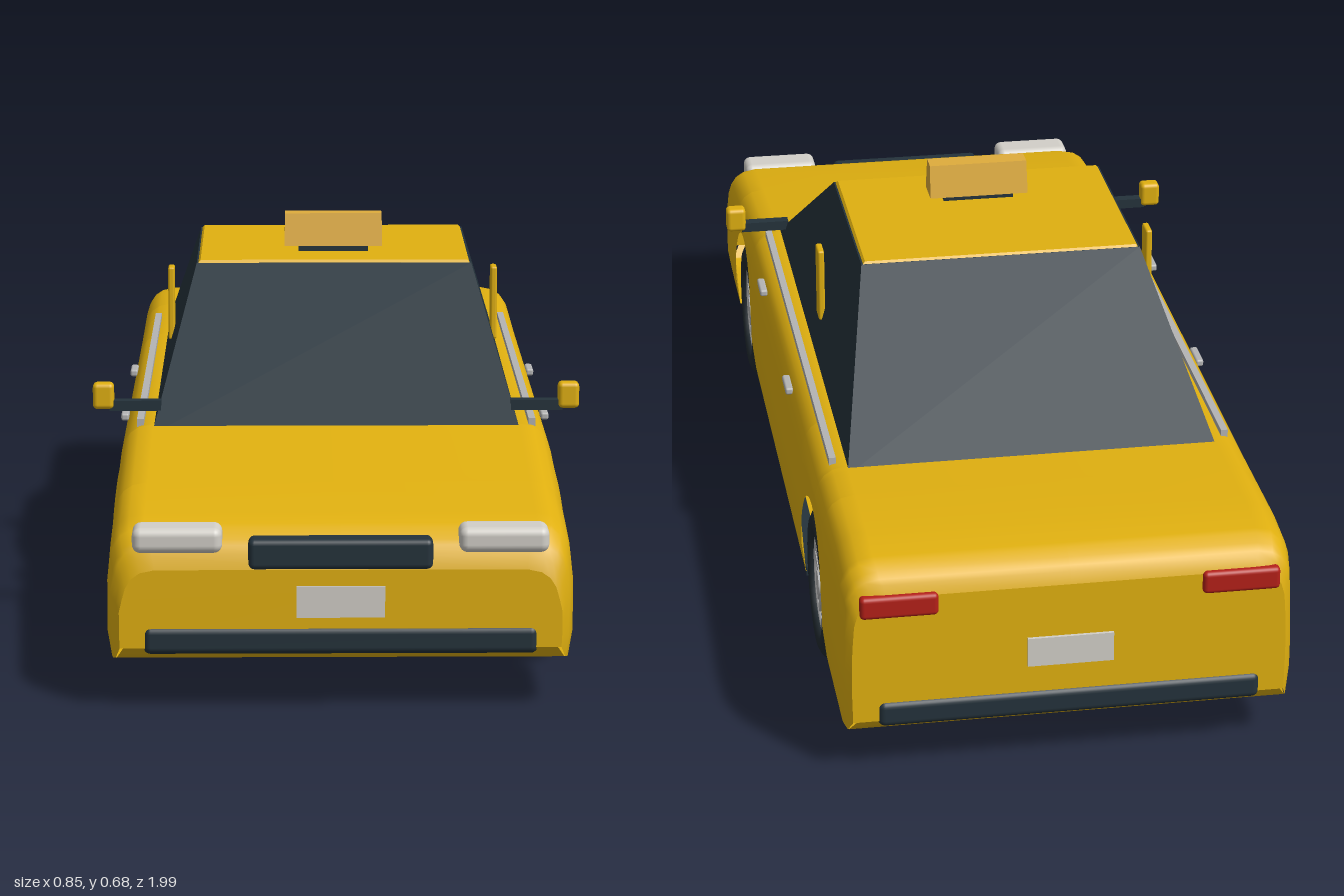
import * as THREE from 'three';
import { RoundedBoxGeometry } from 'three/addons/geometries/RoundedBoxGeometry.js';

const mat = (name, color, side = THREE.FrontSide) => {
  const m = new THREE.MeshStandardMaterial({ color, side });
  m.name = name;
  return m;
};
const yellow = mat('yellow paint', 0xe0b010, THREE.DoubleSide);
const glass = mat('dark glass and trim', 0x24323b);
const rubber = mat('tyre rubber', 0x222b31);
const silver = mat('silver', 0xb4b4b4);
const rimGrey = mat('rim grey', 0x8e8e8e);
const lampWhite = mat('lamp white', 0xd2cfc8);
const red = mat('tail lamp red', 0xb42018);
const amber = mat('sign amber', 0xdfac3c);

const ARCHES = [0.597, -0.56], ARCH_R = 0.153, AXLE_Y = 0.138, FLOOR = 0.078;

function add(parent, name, geometry, material, x = 0, y = 0, z = 0) {
  const mesh = new THREE.Mesh(geometry, material);
  mesh.name = name;
  mesh.position.set(x, y, z);
  parent.add(mesh);
  return mesh;
}
const rounded = (w, h, d, r) => new RoundedBoxGeometry(w, h, d, 3, r);

// Box whose bottom and top are given as [halfWidth, frontZ, frontY, rearZ, rearY]
function prism(bottom, top) {
  const g = new THREE.BoxGeometry(1, 1, 1), p = g.attributes.position;
  for (let i = 0; i < p.count; i++) {
    const [w, zf, yf, zr, yr] = p.getY(i) > 0 ? top : bottom;
    const front = p.getZ(i) > 0;
    p.setXYZ(i, Math.sign(p.getX(i)) * w, front ? yf : yr, front ? zf : zr);
  }
  g.computeVertexNormals();
  return g;
}

// Linear lookup in a table of [z, value], z rising
function lookup(table, z) {
  for (let i = 1; i < table.length; i++) {
    if (z <= table[i][0]) {
      const [z0, a] = table[i - 1], [z1, b] = table[i];
      return a + (b - a) * (z - z0) / (z1 - z0);
    }
  }
  return table[table.length - 1][1];
}
const TOP = [[-0.985, 0.335], [-0.978, 0.355], [-0.96, 0.372], [-0.93, 0.384], [-0.85, 0.391],
  [-0.6, 0.383], [0.45, 0.368], [0.9, 0.311], [0.94, 0.296], [0.965, 0.28], [0.98, 0.258], [0.987, 0.235]];
const BASE = [[-0.985, 0.105], [-0.97, 0.085], [-0.94, FLOOR], [0.94, FLOOR], [0.97, 0.085], [0.987, 0.105]];
const WIDTH = [[-0.985, 0.955], [-0.97, 0.985], [-0.93, 1], [0.93, 1], [0.965, 0.985], [0.987, 0.945]];

const archAt = z => ARCHES.find(c => Math.abs(z - c) <= ARCH_R + 1e-6);

function meshGeometry(positions, index) {
  const g = new THREE.BufferGeometry();
  g.setAttribute('position', new THREE.Float32BufferAttribute(positions, 3));
  g.setIndex(index);
  g.computeVertexNormals();
  return g;
}

// Surface through a list of equally long point rows
function loft(rows) {
  const n = rows[0].length, index = [];
  for (let i = 0; i < rows.length - 1; i++) {
    for (let j = 0; j < n - 1; j++) {
      const a = i * n + j, b = a + n;
      index.push(a, a + 1, b, b, a + 1, b + 1);
    }
  }
  return meshGeometry(rows.flat(2), index);
}

function endCap(row, front) {
  const n = row.length, index = [];
  for (let j = 0; j < n; j++) {
    const k = (j + 1) % n;
    index.push(n, front ? j : k, front ? k : j);
  }
  return meshGeometry([...row, [0, 0.2, row[0][2]]].flat(), index);
}

// Hollow body shell with open wheel arches
function buildBody(car) {
  const shoulder = [[0.05, 0.376], [0.03, 0.37], [0.015, 0.36], [0.005, 0.345], [0, 0.32]];
  const zs = [...TOP, ...BASE, ...WIDTH].map(e => e[0]);
  for (const c of ARCHES) {
    zs.push(c - ARCH_R - 0.001, c + ARCH_R + 0.001);
    for (let k = 0; k <= 24; k++) zs.push(c - ARCH_R * Math.cos(k / 24 * Math.PI));
  }
  const stations = [...new Set(zs)].sort((a, b) => a - b);
  const rows = stations.map(z => {
    const t = lookup(TOP, z), w = lookup(WIDTH, z), arch = archAt(z);
    const b = arch === undefined ? lookup(BASE, z)
      : AXLE_Y + Math.sqrt(Math.max(0, ARCH_R ** 2 - (z - arch) ** 2));
    const half = [];
    for (let k = 0; k < 4; k++) {
      const y = b + (t - 0.05 - b) * k / 4;
      const x = y < 0.11 ? 0.374 + (y - FLOOR) * 0.22 : 0.381 - Math.max(0, y - 0.2) * 0.035;
      half.push([x * w, y, z]);
    }
    for (const [d, x] of shoulder) half.push([x * w, t - d, z]);
    return [...half, [0, t, z], ...half.reverse().map(([x, y, zz]) => [-x, y, zz])];
  });
  add(car, 'bodyShell', loft(rows), yellow);
  add(car, 'rearPanel', endCap(rows[0], false), yellow);
  add(car, 'frontPanel', endCap(rows[rows.length - 1], true), yellow);
  // Floor, notched around the wheels
  const floor = stations.map(z => {
    const w = archAt(z) === undefined ? 0.374 * lookup(WIDTH, z) : 0.275, y = lookup(BASE, z);
    return [[-w, y, z], [w, y, z]];
  });
  add(car, 'floor', loft(floor), yellow);
}

// Wheel facing +x
function buildWheel() {
  const wheel = new THREE.Group();
  const profile = [[0, -0.044], [0.115, -0.044], [0.127, -0.038], [0.135, -0.026], [0.138, 0],
    [0.135, 0.026], [0.127, 0.038], [0.115, 0.044], [0.097, 0.044], [0.09, 0.036], [0.088, 0.01]];
  const tyre = new THREE.LatheGeometry(profile.map(p => new THREE.Vector2(...p)), 40);
  add(wheel, 'tyre', tyre.rotateZ(-Math.PI / 2), rubber);
  add(wheel, 'rimDisc', new THREE.CylinderGeometry(0.089, 0.089, 0.02, 40).rotateZ(-Math.PI / 2), rimGrey, 0.012);
  add(wheel, 'rimRing', new THREE.TorusGeometry(0.086, 0.006, 8, 40).rotateY(Math.PI / 2), silver, 0.03);
  add(wheel, 'hub', new THREE.CylinderGeometry(0.022, 0.026, 0.02, 20).rotateZ(-Math.PI / 2), silver, 0.03);
  for (let i = 0; i < 5; i++) {
    for (const s of [-1, 1]) {
      const bar = new THREE.BoxGeometry(0.016, 0.07, 0.014).translate(0, 0.052, s * 0.012);
      add(wheel, 'spoke', bar, silver, 0.026).rotation.x = i / 5 * Math.PI * 2;
    }
  }
  return wheel;
}

export function createModel() {
  const car = new THREE.Group();
  car.name = 'taxi';
  buildBody(car);

  // Cabin and roof
  add(car, 'cabinGlass', prism([0.322, 0.475, 0.355, -0.62, 0.375], [0.25, 0.125, 0.602, -0.272, 0.61]), glass);
  add(car, 'roof', prism([0.248, 0.123, 0.601, -0.272, 0.609], [0.243, 0.118, 0.607, -0.268, 0.614]), yellow);

  // Roof sign
  add(car, 'signBase', new THREE.BoxGeometry(0.128, 0.025, 0.04), glass, 0, 0.612, 0.008);
  add(car, 'roofSign', prism([0.09, 0.038, 0.62, -0.022, 0.62], [0.089, 0.026, 0.679, -0.01, 0.679]), amber);

  // Front and rear trim
  add(car, 'grille', rounded(0.3, 0.051, 0.05, 0.01), glass, 0, 0.26, 0.966);
  for (const s of [1, -1]) {
    const end = s > 0 ? 'front' : 'rear';
    add(car, end + 'Bumper', rounded(0.642, 0.046, 0.05, 0.012), glass, 0, 0.117, s * 0.966);
    add(car, end + 'Plate', new THREE.BoxGeometry(0.144, 0.052, 0.009), lampWhite, 0, s > 0 ? 0.182 : 0.215, s * 0.986);
  }

  // Parts on both sides
  for (const s of [1, -1]) {
    add(car, 'headlight', rounded(0.146, 0.042, 0.066, 0.014), lampWhite, s * 0.265, 0.284, 0.963);
    add(car, 'tailLight', rounded(0.13, 0.04, 0.03, 0.008), red, s * 0.285, 0.32, -0.979);
    add(car, 'doorPillar', rounded(0.012, 0.137, 0.04, 0.004), yellow, s * 0.302, 0.496, -0.083);
    add(car, 'beltStrip', new THREE.BoxGeometry(0.012, 0.014, 1.02), silver, s * 0.343, 0.376, -0.07).rotation.x = 0.014;
    add(car, 'sill', new THREE.BoxGeometry(0.03, 0.016, 0.85), glass, s * 0.358, 0.078, 0.018);
    for (const z of [0.24, -0.19]) {
      add(car, 'doorHandle', rounded(0.014, 0.013, 0.06, 0.004), silver, s * 0.377, 0.345, z);
    }
    add(car, 'mirrorArm', new THREE.BoxGeometry(0.09, 0.018, 0.02), glass, s * 0.352, 0.397, 0.418);
    add(car, 'mirror', rounded(0.037, 0.046, 0.03, 0.008), yellow, s * 0.408, 0.414, 0.418);
    for (const z of ARCHES) {
      const wheel = buildWheel();
      wheel.name = z > 0 ? 'frontWheel' : 'rearWheel';
      wheel.position.set(s * 0.331, AXLE_Y, z);
      if (s < 0) wheel.rotation.y = Math.PI;
      car.add(wheel);
    }
  }
  return car;
}
